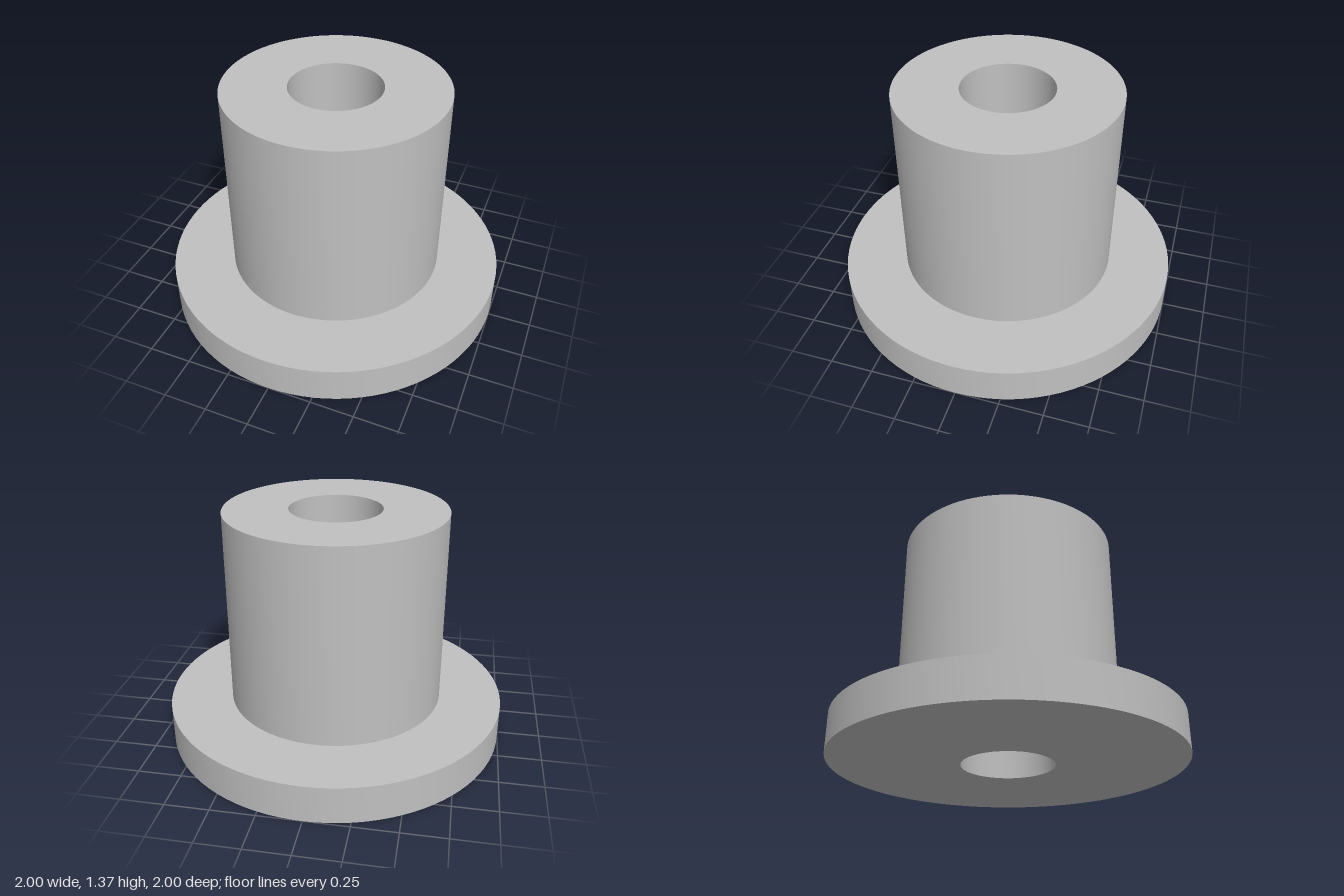
import * as THREE from 'three';
import { toCreasedNormals } from 'three/addons/utils/BufferGeometryUtils.js';

const FLANGE_RADIUS = 1;
const SLEEVE_RADIUS = 0.635;
const BORE_RADIUS = 0.265;
const FLANGE_HEIGHT = 0.22;
const TOTAL_HEIGHT = 1.366;

// Revolves a [radius, height] profile, keeping its corners sharp
function turned(name, profile, material) {
  const points = profile.map(([r, y]) => new THREE.Vector2(r, y));
  const geometry = toCreasedNormals(new THREE.LatheGeometry(points, 96), Math.PI / 6);
  const mesh = new THREE.Mesh(geometry, material);
  mesh.name = name;
  return mesh;
}

export function createModel() {
  const group = new THREE.Group();
  group.name = 'flangedBushing';

  const metal = new THREE.MeshStandardMaterial({ color: 0xc0c0c0 });
  metal.name = 'grey metal';

  // Wide base ring: lower bore wall, underside, rim and upper ledge
  group.add(turned('flange', [
    [BORE_RADIUS, FLANGE_HEIGHT],
    [BORE_RADIUS, 0],
    [FLANGE_RADIUS, 0],
    [FLANGE_RADIUS, FLANGE_HEIGHT],
    [SLEEVE_RADIUS, FLANGE_HEIGHT],
  ], metal));

  // Upright tube: outer wall, top ring and upper bore wall
  group.add(turned('sleeve', [
    [SLEEVE_RADIUS, FLANGE_HEIGHT],
    [SLEEVE_RADIUS, TOTAL_HEIGHT],
    [BORE_RADIUS, TOTAL_HEIGHT],
    [BORE_RADIUS, FLANGE_HEIGHT],
  ], metal));

  return group;
}
